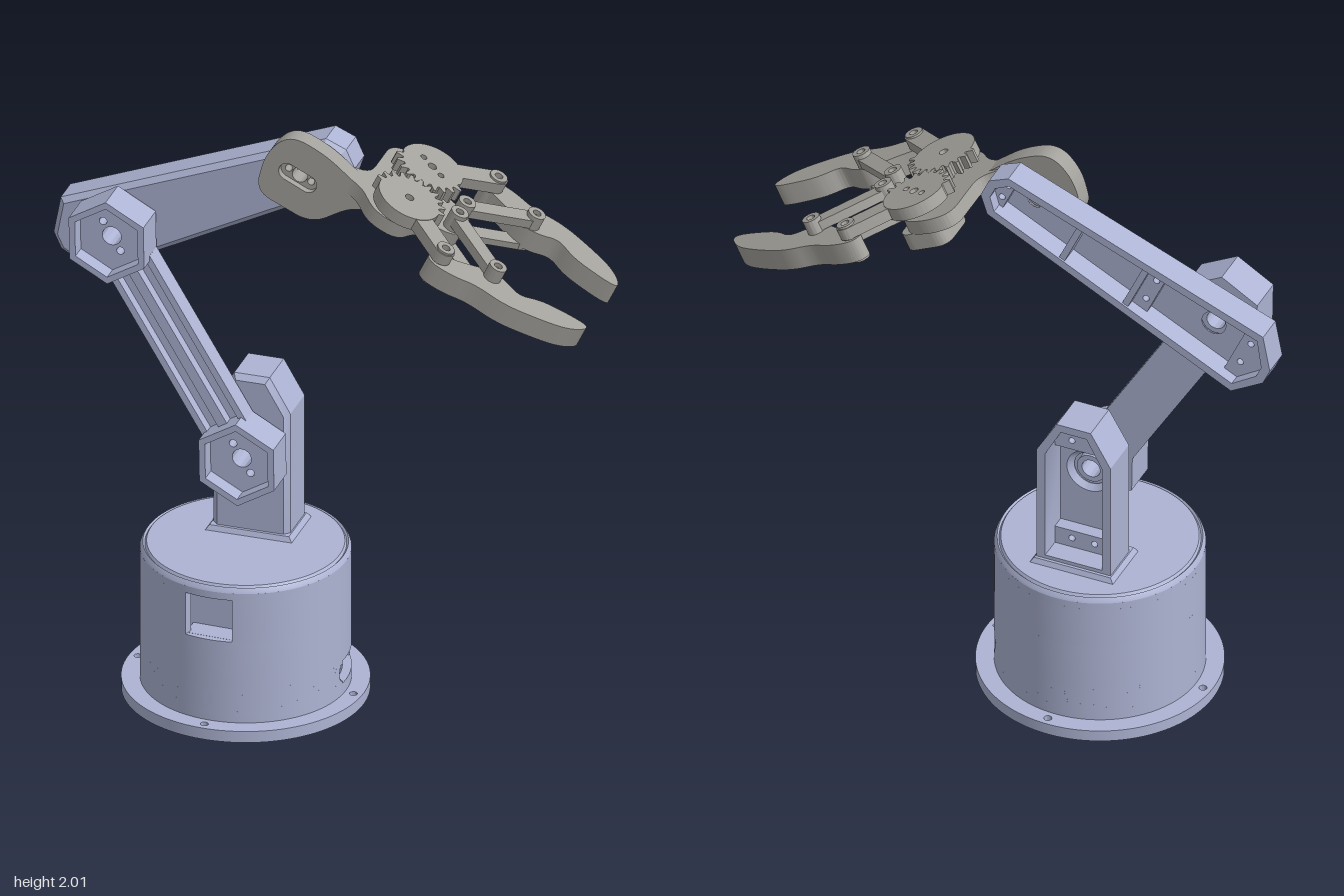
import * as THREE from 'three';
import { toCreasedNormals } from 'three/addons/utils/BufferGeometryUtils.js';

const blue = new THREE.MeshStandardMaterial({ color: 0xadb3d3, side: THREE.DoubleSide });
const grey = new THREE.MeshStandardMaterial({ color: 0xa3a19c, side: THREE.DoubleSide });
const { PI, cos, sin } = Math;

function add(parent, name, geo, mat) {
  const m = new THREE.Mesh(toCreasedNormals(geo, 0.5), mat);
  m.name = name;
  parent.add(m);
  return m;
}
function group(parent, name, x, y, z) {
  const g = new THREE.Group();
  g.name = name;
  g.position.set(x, y, z);
  parent.add(g);
  return g;
}
const poly = (pts) => new THREE.Shape(pts.map(([x, y]) => new THREE.Vector2(x, y)));
const hole = (x, y, r) => new THREE.Path().absarc(x, y, r, 0, 2 * PI, true);
const disc = (x, y, r) => new THREE.Shape().absarc(x, y, r, 0, 2 * PI, false);
const cut = (shape, ...holes) => { shape.holes.push(...holes); return shape; };
const ring = (x, y, r, ri) => cut(disc(x, y, r), hole(x, y, ri));
const hexagon = (r) => [0, 1, 2, 3, 4, 5].map((k) => [r * cos(PI / 6 + k * PI / 3), r * sin(PI / 6 + k * PI / 3)]);

// polygon with softened corners
function rounded(pts, r) {
  const s = new THREE.Shape(), n = pts.length;
  pts.forEach((p, i) => {
    const c = new THREE.Vector2(...p);
    const toward = (q) => {
      const d = new THREE.Vector2(...q).sub(c), l = d.length();
      return d.multiplyScalar(Math.min(r, l / 2) / l).add(c);
    };
    const a = toward(pts[(i + n - 1) % n]), b = toward(pts[(i + 1) % n]);
    if (i) s.lineTo(a.x, a.y); else s.moveTo(a.x, a.y);
    s.quadraticCurveTo(c.x, c.y, b.x, b.y);
  });
  s.closePath();
  return s;
}
function stadium(a, b, r) {
  const t = Math.atan2(b[1] - a[1], b[0] - a[0]);
  const s = new THREE.Shape();
  s.absarc(b[0], b[1], r, t - PI / 2, t + PI / 2, false);
  s.absarc(a[0], a[1], r, t + PI / 2, t + 1.5 * PI, false);
  s.closePath();
  return s;
}
// extrusion between two depths along z
const ext = (shape, z0, z1, curveSegments = 24) =>
  new THREE.ExtrudeGeometry(shape, { depth: z1 - z0, bevelEnabled: false, curveSegments }).translate(0, 0, z0);
// shape in (x, z), standing between two heights
const slab = (shape, y0, y1, seg) => ext(shape, -y1, -y0, seg).rotateX(PI / 2);

// hollow casing, open to the back, with a chamfered front plate
function casing(parent, name, outline, inner, holes, z0, z1) {
  const c = 0.018;
  add(parent, name + 'Walls', ext(cut(poly(outline), new THREE.Path(poly(inner).getPoints())), z0, z1 - c), blue);
  const plate = new THREE.ExtrudeGeometry(cut(poly(outline), ...holes), {
    depth: 0.004, bevelThickness: c, bevelSize: c, bevelOffset: -c, bevelSegments: 1, curveSegments: 24,
  }).translate(0, 0, z1 - c - 0.004);
  add(parent, name + 'FrontPlate', plate, blue);
}

function buildBase(root) {
  const base = group(root, 'base', -0.255, 0, 0.01);
  const flange = ring(0, 0, 0.4, 0.31);
  for (let k = 0; k < 4; k++) flange.holes.push(hole(0.37 * cos(k * PI / 2), 0.37 * sin(k * PI / 2), 0.013));
  add(base, 'flange', slab(flange, 0, 0.04, 64), blue);
  // wall in layers, each with an optional gap
  const wall = (y0, y1, mid = 0, gap = 0) => {
    let s = ring(0, 0, 0.34, 0.31);
    if (gap) {
      s = new THREE.Shape();
      s.absarc(0, 0, 0.34, mid + gap, mid + 2 * PI - gap, false);
      s.absarc(0, 0, 0.31, mid + 2 * PI - gap, mid + gap, true);
      s.closePath();
    }
    add(base, 'drumWall', slab(s, y0, y1, 64), blue);
  };
  wall(0.04, 0.08);
  const n = 8, r = 0.04;
  for (let i = 0; i < n; i++) {
    const y = -r + (i + 0.5) * 2 * r / n;
    wall(0.12 - r + i * 2 * r / n, 0.12 - r + (i + 1) * 2 * r / n, -0.247, (0.083 + Math.sqrt(r * r - y * y)) / 0.34);
  }
  wall(0.16, 0.33);
  wall(0.33, 0.48, PI / 2, 0.237);
  wall(0.48, 0.505);
  add(base, 'windowBackPanel', new THREE.BoxGeometry(0.4, 0.46, 0.02).translate(0, 0.27, 0.235), blue);
  add(base, 'windowSill', new THREE.BoxGeometry(0.17, 0.015, 0.08).translate(0, 0.323, 0.278), blue);
  const lid = [[0, 0.485], [0.31, 0.485], [0.34, 0.505], [0.337, 0.512], [0.33, 0.522], [0.324, 0.516], [0.318, 0.525], [0, 0.525]];
  add(base, 'lid', new THREE.LatheGeometry(lid.map(([x, y]) => new THREE.Vector2(x, y)), 96), blue);
}

function buildTower(turret) {
  const tower = group(turret, 'tower', 0, 0, 0);
  const sym = (w, y0, y1, t, y2) => [[-w, y0], [w, y0], [w, y1], [t, y2], [-t, y2], [-w, y1]];
  casing(tower, 'tower', sym(0.13, 0.52, 0.97, 0.06, 1.09), sym(0.1, 0.555, 0.96, 0.045, 1.062),
    [hole(0, 0.84, 0.06)], -0.205, -0.045);
  const foot = new THREE.CylinderGeometry(0.19, 0.21, 0.02, 4, 1).rotateY(PI / 4).scale(1, 1, 0.67);
  add(tower, 'foot', foot.translate(0, 0.532, -0.125), blue);
  // servo mounting tabs
  add(tower, 'upperTab', ext(cut(poly(sym(0.105, 0.945, 0.965, 0.05, 1.07)), hole(-0.04, 0.98, 0.011), hole(0.04, 0.98, 0.011)), -0.13, -0.06), blue);
  add(tower, 'lowerTab', ext(cut(poly([[-0.105, 0.54], [0.105, 0.54], [0.105, 0.62], [-0.105, 0.62]]),
    hole(-0.04, 0.59, 0.011), hole(0.04, 0.59, 0.011)), -0.13, -0.06), blue);
}

function buildLowerArm(turret) {
  const arm = group(turret, 'lowerArm', 0, 0.84, 0);
  arm.rotation.z = Math.atan2(0.73, -0.44);
  const L = 0.852, a = 0.11;
  for (const x of [0, L]) {
    const hub = group(arm, 'hexHub', x, 0, 0);
    const bores = [hole(0, 0, 0.032), hole(0.057, 0, 0.013), hole(-0.057, 0, 0.013)];
    add(hub, 'hubFloor', ext(cut(poly(hexagon(0.146)), ...bores), -0.03, 0.04), blue);
    add(hub, 'hubRim', ext(cut(poly(hexagon(0.146)), new THREE.Path(poly(hexagon(0.122)).getPoints())), 0.04, 0.095), blue);
    add(hub, 'servoHorn', ext(ring(0, 0, 0.05, 0.032), -0.07, -0.03), blue);
  }
  const box = (name, w, z0, z1, y) =>
    add(arm, name, new THREE.BoxGeometry(L - 2 * a, w, z1 - z0).translate(L / 2, y, (z0 + z1) / 2), blue);
  box('armWeb', 0.166, -0.03, 0.005, 0);
  for (const y of [-0.072, 0, 0.072]) box('armRib', y ? 0.022 : 0.034, 0, 0.04, y);
}

function buildUpperArm(turret) {
  const arm = group(turret, 'upperArm', -0.44, 1.57, 0);
  arm.rotation.z = 0.428;
  const mirror = (half) => [...half, ...half.map(([x, y]) => [x, -y]).reverse()];
  const outline = mirror([[-0.24, 0.03], [-0.165, 0.137], [0.8, 0.09], [0.85, 0.035]]);
  const inner = mirror([[-0.21, 0.022], [-0.155, 0.108], [0.785, 0.064], [0.82, 0.022]]);
  casing(arm, 'upperArm', outline, inner, [hole(0, 0, 0.06), hole(0.695, 0.01, 0.045)], -0.16, -0.045);
  for (const u of [0.27, 0.52]) {
    const w = 2 * (0.125 - 0.0487 * u) - 0.01;
    add(arm, 'crossRib', new THREE.BoxGeometry(0.022, w, 0.095).translate(u, 0, -0.1055), blue);
  }
  const tab = (pts, u, v) => add(arm, 'servoTab',
    ext(cut(poly(pts), hole(u, v, 0.011), hole(u, -v, 0.011)), -0.12, -0.06), blue);
  tab(mirror([[-0.22, 0.025], [-0.16, 0.115], [-0.105, 0.115]]), -0.14, 0.045);
  tab(mirror([[0.77, 0.07], [0.79, 0.07], [0.83, 0.025]]), 0.79, 0.028);
  tab(mirror([[0.2, 0.11], [0.26, 0.11]]), 0.225, 0.045);
}

// disc with teeth only around the side facing its partner
function gearShape(cx, cz, facing, phase) {
  const pts = [], N = 22, steps = N * 4;
  for (let i = 0; i < steps; i++) {
    const t = (i + 0.5) / steps * 2 * PI - PI;
    const high = Math.floor(((i + 0.5) - steps / 2 + 1 + phase * 2 + steps * 2) / 2) % 2 === 0;
    const r = Math.abs(t) < 1.5 ? (high ? 0.126 : 0.103) : 0.108;
    pts.push([cx + r * cos(facing + t), cz + r * sin(facing + t)]);
  }
  return poly(pts);
}

function buildGripper(turret) {
  // local x runs toward the fingertips, y is the upper face, z spans the jaws
  const g = group(turret, 'gripper', 0.185, 1.875, -0.086);
  g.rotation.z = -0.454;
  const wrist = [[-0.1, -0.125], [-0.13, 0.02], [-0.09, 0.125], [0.04, 0.13], [0.2, 0.09], [0.28, 0.09], [0.28, 0.04], [0.2, 0.015], [0.11, -0.12]];
  add(g, 'wristPlateBack', ext(cut(rounded(wrist, 0.06), hole(0, 0, 0.026), hole(0.042, 0, 0.012), hole(-0.042, 0, 0.012)), 0.049, 0.09), grey);
  add(g, 'wristPlateFront', ext(cut(rounded(wrist, 0.06), new THREE.Path(stadium([-0.038, 0], [0.038, 0], 0.03).getPoints())), 0.09, 0.114), grey);
  add(g, 'wristHorn', ext(ring(0, 0, 0.045, 0.026), 0.02, 0.05), grey);

  // palm flares out from the wrist and carries both gears
  const palm = [[0.1, 0.05], [0.1, 0.113], [0.19, 0.113], [0.27, 0.2], [0.38, 0.2], [0.42, 0.1], [0.54, 0.075],
    [0.54, -0.075], [0.42, -0.1], [0.38, -0.2], [0.27, -0.22], [0.19, -0.19], [0.19, 0.02]];
  add(g, 'palm', slab(rounded(palm, 0.05), 0.05, 0.1), grey);
  add(g, 'palmUnderside', slab(rounded([[0.25, -0.2], [0.25, -0.03], [0.4, -0.03], [0.42, -0.2]], 0.05), -0.01, 0.05), grey);
  add(g, 'palmArch', slab(rounded([[0.3, -0.13], [0.3, 0.13], [0.4, 0.12], [0.44, 0], [0.4, -0.12]], 0.05), 0.026, 0.05), grey);

  const finger = [[0.49, 0.255], [0.51, 0.31], [0.6, 0.312], [0.68, 0.285], [0.79, 0.297], [0.91, 0.262], [1.0, 0.225],
    [1.05, 0.17], [1.045, 0.14], [0.93, 0.15], [0.87, 0.165], [0.81, 0.205], [0.75, 0.17], [0.69, 0.16], [0.6, 0.215]];
  for (const s of [1, -1]) {
    const side = group(g, s > 0 ? 'leftJaw' : 'rightJaw', 0, 0, 0);
    const gear = [0.344, s * 0.115], knuckle = [0.536, s * 0.266], inner = [0.503, s * 0.038], joint = [0.706, s * 0.195];
    const bores = [hole(...gear, 0.015)];
    if (s < 0) for (const d of [-1, 1]) bores.push(hole(gear[0] + d * 0.04, gear[1] + d * 0.02, 0.011));
    add(side, 'gear', slab(cut(gearShape(...gear, -s * PI / 2, s > 0 ? 0 : 1), ...bores), 0.115, 0.16), grey);
    // crank fixed to the gear, starting at its rim
    const start = [gear[0] + 0.07, gear[1] + s * 0.055];
    add(side, 'crank', slab(cut(stadium(start, knuckle, 0.034), hole(...knuckle, 0.014)), 0.118, 0.158), grey);
    for (const [y0, y1] of [[0.118, 0.15], [0.026, 0.05]]) {
      add(side, 'innerLink', slab(cut(stadium(inner, joint, 0.026), hole(...inner, 0.013), hole(...joint, 0.013)), y0, y1), grey);
    }
    for (const p of [knuckle, inner, joint]) add(side, 'pivotPin', slab(ring(...p, 0.03, 0.014), 0.03, 0.165), grey);
    add(side, 'gearAxle', slab(ring(...gear, 0.035, 0.015), 0.09, 0.12), grey);
    add(side, 'finger', slab(rounded(finger.map(([x, z]) => [x, s * z]), 0.06), 0.04, 0.115), grey);
  }
}

export function createModel() {
  const root = new THREE.Group();
  root.name = 'roboticArm';
  buildBase(root);
  // everything above the base is swivelled slightly
  const turret = group(root, 'turret', -0.255, 0, 0.01);
  turret.rotation.y = 0.043;
  buildTower(turret);
  buildLowerArm(turret);
  buildUpperArm(turret);
  buildGripper(turret);
  return root;
}
